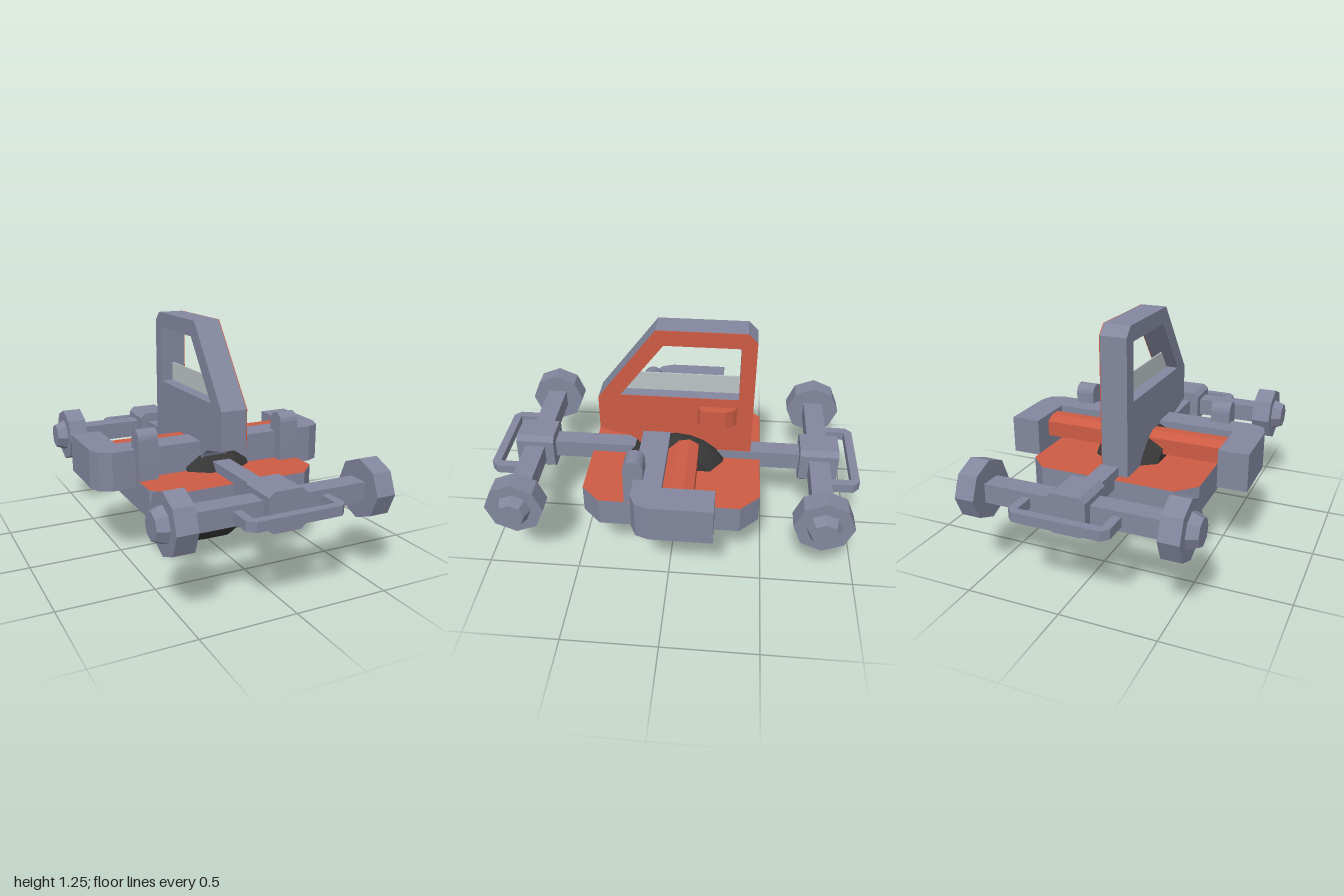
import * as THREE from 'three';
import { toCreasedNormals } from 'three/addons/utils/BufferGeometryUtils.js';

export function createModel() {
  const model = new THREE.Group();
  const mat = (name, color) => {
    const m = new THREE.MeshStandardMaterial({ color });
    m.name = name;
    return m;
  };
  const grey = mat('slate grey', 0x83879e);
  const red = mat('brick red', 0xcd5b44);
  const rubber = mat('tyre black', 0x363636);
  const glass = mat('pale glass', 0xbcc4c6);

  const add = (name, geometry, material) => {
    const mesh = new THREE.Mesh(geometry, material);
    mesh.name = name;
    model.add(mesh);
    return mesh;
  };
  // Box given by its limits on each axis
  const box = (name, m, x0, x1, y0, y1, z0, z1) => {
    const g = new THREE.BoxGeometry(x1 - x0, y1 - y0, z1 - z0);
    add(name, g.translate((x0 + x1) / 2, (y0 + y1) / 2, (z0 + z1) / 2), m);
  };
  const shapeOf = (pts) => new THREE.Shape(pts.map(([a, b]) => new THREE.Vector2(a, b)));
  const extrude = (shape, depth) =>
    new THREE.ExtrudeGeometry(shape, { depth, bevelEnabled: false, curveSegments: 8 });
  // (z, y) outline extruded across x, and (x, z) outline extruded up y
  const acrossX = (shape, x0, x1) =>
    extrude(shape, x1 - x0).rotateY(-Math.PI / 2).translate(x1, 0, 0);
  const upY = (shape, y0, y1) =>
    extrude(shape, y1 - y0).rotateX(Math.PI / 2).translate(0, y1, 0);
  const chamfered = (w, h, cx, cy = cx) => shapeOf([
    [-w + cx, -h], [w - cx, -h], [w, -h + cy], [w, h - cy],
    [w - cx, h], [-w + cx, h], [-w, h - cy], [-w, -h + cy],
  ]);

  // Octagonal deck: red faces, grey rim
  add('deck', upY(chamfered(0.47, 0.47, 0.1), 0.315, 0.47), [red, grey]);

  // Central tyre, open in the middle
  const tyre = new THREE.LatheGeometry(
    [[0.16, -0.18], [0.255, -0.18], [0.31, -0.08], [0.31, 0.08], [0.255, 0.18], [0.16, 0.18], [0.16, -0.18]]
      .map(([r, y]) => new THREE.Vector2(r, y)), 24);
  add('tyre', toCreasedNormals(tyre.rotateZ(Math.PI / 2).translate(0, 0.313, 0), 0.4), rubber);

  // Long beam joining both axles
  box('spine', grey, -0.05, 0.05, 0.42, 0.52, -0.75, 0.75);

  // Axle, hub, bumper and wheels at each end
  for (const s of [1, -1]) {
    const z = 0.79 * s;
    box('axle', grey, -0.5, 0.5, 0.42, 0.52, z - 0.055, z + 0.055);
    const hub = extrude(chamfered(0.102, 0.102, 0.028, 0.025), 0.21);
    add('axleHub', hub.translate(0, 0.471, z - 0.105), grey);

    const bumper = shapeOf([
      [-0.26, 0.83], [-0.26, 0.965], [-0.225, 1], [0.225, 1], [0.26, 0.965], [0.26, 0.83],
      [0.215, 0.83], [0.215, 0.955], [-0.215, 0.955], [-0.215, 0.83],
    ]);
    const bumperGeo = upY(bumper, 0.445, 0.495);
    if (s < 0) bumperGeo.rotateY(Math.PI);
    add('bumper', bumperGeo, grey);

    for (const side of [1, -1]) {
      const turn = -side * Math.PI / 2;
      const wheel = new THREE.CylinderGeometry(0.154, 0.154, 0.105, 8).toNonIndexed();
      wheel.computeVertexNormals();
      add('smallWheel', wheel.rotateZ(turn).translate(side * 0.5225, 0.47, z), grey);
      const cap = new THREE.CylinderGeometry(0.07, 0.092, 0.055, 8).toNonIndexed();
      cap.computeVertexNormals();
      add('wheelCap', cap.rotateZ(turn).translate(side * 0.6025, 0.47, z), grey);
    }
  }

  // U-shaped frame around the middle
  const frame = shapeOf([
    [-0.68, -0.24], [-0.52, -0.24], [-0.52, 0.03], [0.52, 0.03], [0.52, -0.24], [0.68, -0.24],
    [0.68, 0.08], [0.655, 0.15], [0.59, 0.18], [-0.59, 0.18], [-0.655, 0.15], [-0.68, 0.08],
  ]);
  add('sideFrame', upY(frame, 0.42, 0.625), grey);

  // Red bar behind the frame, with a sloping top
  const bar = shapeOf([
    [-0.13, 0.5], [0.03, 0.5], [0.03, 0.585], [-0.02, 0.61], [-0.08, 0.61], [-0.13, 0.585],
  ]);
  add('crossBar', acrossX(bar, -0.52, 0.52), red);

  // Round-topped posts
  const post = new THREE.Shape();
  post.moveTo(0.13, 0.42);
  post.lineTo(0.234, 0.42);
  post.lineTo(0.234, 0.68);
  post.absarc(0.182, 0.68, 0.052, 0, Math.PI, false);
  post.closePath();
  for (const side of [1, -1]) {
    add('post', toCreasedNormals(acrossX(post, side * 0.415 - 0.053, side * 0.415 + 0.053), 0.6), grey);
  }

  // Upright door with a window opening; red skin on one face
  const door = shapeOf([
    [-0.415, 0.47], [0.17, 0.47], [0.21, 0.56], [0.26, 0.595], [0.42, 0.63],
    [0.42, 0.835], [0.105, 1.25], [-0.365, 1.25], [-0.415, 1.2],
  ]);
  door.holes.push(new THREE.Path(
    [[0.065, 1.165], [-0.335, 1.165], [-0.335, 0.855], [0.3, 0.855]]
      .map(([z, y]) => new THREE.Vector2(z, y))));
  add('door', acrossX(door, -0.1, 0.042), grey);
  add('doorSkin', acrossX(door, 0.042, 0.046), red);

  // Half-raised window pane
  const pane = shapeOf([[-0.335, 0.855], [0.3, 0.855], [0.22, 0.96], [-0.335, 0.96]]);
  add('windowPane', acrossX(pane, -0.032, -0.024), glass);

  // Door handle
  const handle = shapeOf([
    [0.045, -0.33], [0.07, -0.31], [0.095, -0.27], [0.095, -0.17], [0.08, -0.13], [0.045, -0.12],
  ]);
  add('doorHandle', upY(handle, 0.7, 0.805), red);

  return model;
}
